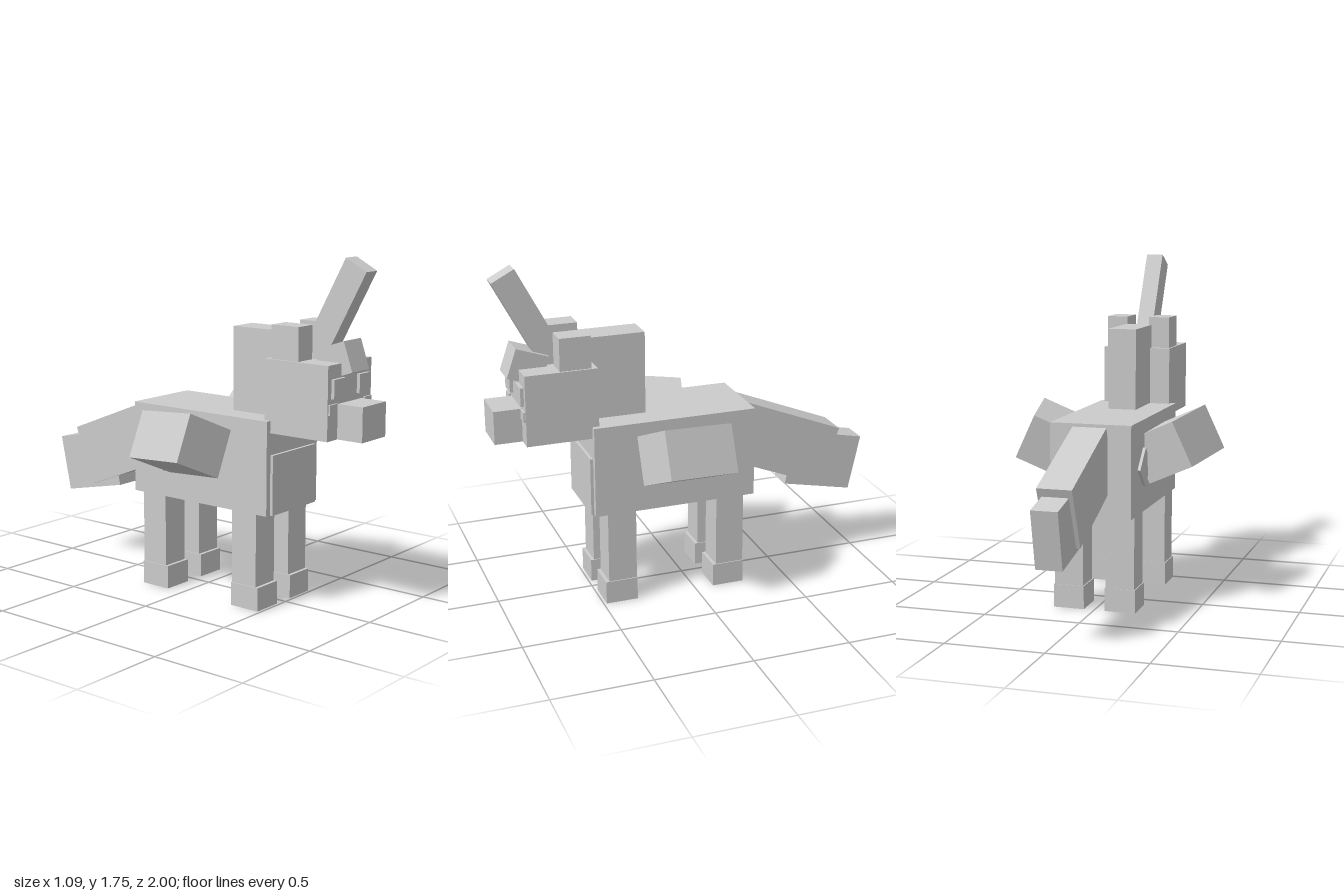
import * as THREE from 'three';

export function createModel() {
  const model = new THREE.Group();
  model.name = 'wingedHornedPony';
  const grey = new THREE.MeshStandardMaterial({ color: 0xcccccc });
  grey.name = 'plain grey';

  // Box given by its centre, size and rotation
  function box(name, center, size, rotation = [0, 0, 0]) {
    const mesh = new THREE.Mesh(new THREE.BoxGeometry(...size), grey);
    mesh.name = name;
    mesh.position.set(...center);
    mesh.rotation.set(...rotation);
    model.add(mesh);
  }

  // Upright box given by its limits on each axis
  function span(name, [x0, x1], [y0, y1], [z0, z1]) {
    box(name, [(x0 + x1) / 2, (y0 + y1) / 2, (z0 + z1) / 2], [x1 - x0, y1 - y0, z1 - z0]);
  }

  // Left part and its mirror image on the right
  function boxPair(name, [x, y, z], size, [rx, ry, rz] = [0, 0, 0]) {
    box(name + 'Left', [x, y, z], size, [rx, ry, rz]);
    box(name + 'Right', [-x, y, z], size, [rx, -ry, -rz]);
  }
  function spanPair(name, [x0, x1], ys, zs) {
    span(name + 'Left', [x0, x1], ys, zs);
    span(name + 'Right', [-x1, -x0], ys, zs);
  }

  // Trunk
  span('body', [-0.21, 0.21], [0.49, 0.96], [-0.32, 0.53]);
  span('chestPlate', [-0.18, 0.18], [0.49, 0.79], [0.53, 0.545]);

  // Legs and hooves
  for (const [end, z] of [['front', 0.32], ['back', -0.262]]) {
    spanPair(end + 'Leg', [0.06, 0.21], [0.12, 0.49], [z, z + 0.148]);
    spanPair(end + 'Hoof', [0.055, 0.215], [0, 0.12], [z - 0.002, z + 0.165]);
  }

  // Head and face
  span('head', [-0.183, 0.183], [0.9, 1.26], [0.495, 0.86]);
  span('snout', [-0.1, 0.1], [0.9, 1.07], [0.86, 1]);
  spanPair('eye', [0.06, 0.155], [1.1, 1.193], [0.86, 0.877]);
  spanPair('cheek', [0.115, 0.177], [1.025, 1.075], [0.86, 0.87]);
  spanPair('ear', [0.06, 0.173], [1.26, 1.425], [0.525, 0.683]);

  // Mane, forelock and horn
  span('mane', [-0.075, 0.075], [0.93, 1.383], [0.22, 0.56]);
  box('forelock', [0, 1.264, 0.812], [0.145, 0.153, 0.175], [-0.332, 0, 0]);
  box('horn', [0, 1.49, 0.79], [0.09, 0.52, 0.13], [0.488, 0, 0]);

  // Tail in two overlapping blocks
  box('tail', [0, 0.691, -0.538], [0.175, 0.323, 0.565], [-0.38, 0, 0]);
  box('tailTip', [0, 0.557, -0.78], [0.133, 0.297, 0.383], [-0.21, 0, 0]);

  // Raised wings and the flank plates tucked beneath them
  boxPair('wing', [0.338, 0.814, 0.091], [0.267, 0.246, 0.386], [-0.106, 0.205, 0.447]);
  boxPair('flankPlate', [0.19, 0.722, -0.112], [0.07, 0.134, 0.142], [-Math.PI / 4, 0, 0]);

  return model;
}
